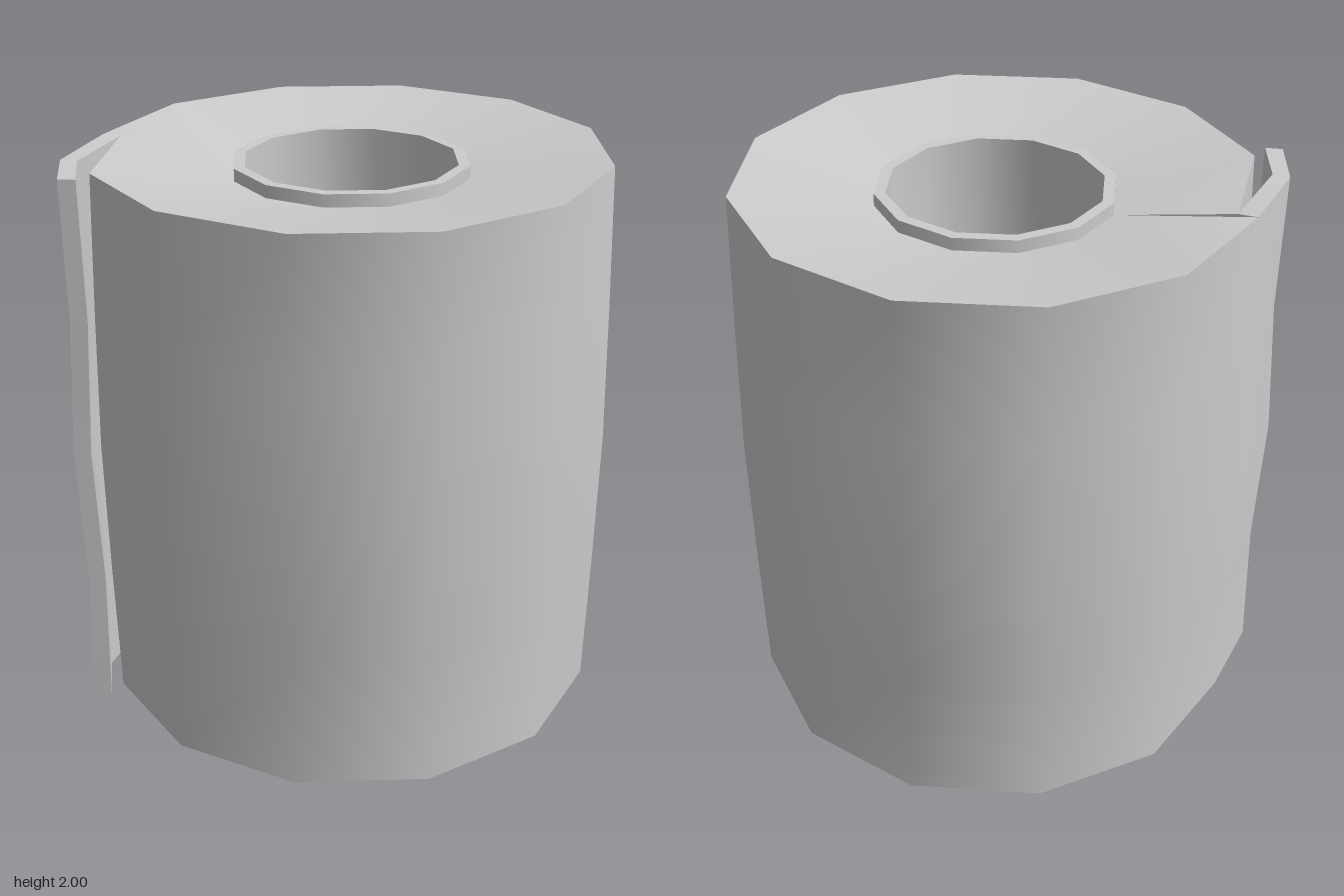
import * as THREE from 'three';
import { toCreasedNormals } from 'three/addons/utils/BufferGeometryUtils.js';

const CX = 0.01; // axis of the roll
const paper = new THREE.MeshStandardMaterial({ color: 0xcccccc });
paper.name = 'light grey paper';

// Outline of the roll at its ends, [x, z], from the notch round to the loose sheet
const outline = [[-0.82, 0], [-0.77, 0.455]];
for (let k = 2; k <= 11; k++) {
  const a = Math.PI - k * Math.PI / 6;
  outline.push([CX + 0.9 * Math.cos(a), 0.9 * Math.sin(a)]);
}
outline.push([-0.887, 0], [-0.92, 0.33], [-0.85, 0.54], [-0.79, 0.53], [-0.86, 0.33]);

function build(quads) {
  const pos = [];
  for (const [a, b, c, d] of quads) {
    pos.push(...a, ...b, ...c);
    if (d) pos.push(...a, ...c, ...d);
  }
  const g = new THREE.BufferGeometry();
  g.setAttribute('position', new THREE.Float32BufferAttribute(pos, 3));
  return toCreasedNormals(g, 0.75);
}

// Outer wall: bulges at mid height, the loose sheet is slightly wavy
function wallGeometry() {
  const body = [1, 1.015, 1.025, 1.015, 1];
  const flap = [1, 0.99, 1.017, 0.99, 1];
  const rings = body.map((s, j) => outline.map(([x, z], i) => {
    const k = i > 12 ? flap[j] : s;
    return [CX + (x - CX) * k, j * 0.5, z * (i > 12 ? 1 : k)];
  }));
  const quads = [];
  const n = outline.length;
  for (let j = 0; j < 4; j++) {
    for (let i = 0; i < n; i++) {
      const m = (i + 1) % n;
      quads.push([rings[j][i], rings[j][m], rings[j + 1][m], rings[j + 1][i]]);
    }
  }
  return build(quads);
}

// End face: dished towards the core, with the flat edge of the loose sheet
function endGeometry(top) {
  const yEdge = top ? 2 : 0, yCore = top ? 1.925 : 0.075;
  const o = outline.map(([x, z]) => [x, yEdge, z]);
  const core = (k) => {
    const a = Math.PI - k * Math.PI / 6;
    return [CX + 0.413 * Math.cos(a), yCore, 0.413 * Math.sin(a)];
  };
  const quads = [];
  for (let k = 0; k < 12; k++) quads.push([o[k], o[k + 1], core(k + 1), core(k)]);
  quads.push([o[12], o[0], core(0)]);
  quads.push([o[12], o[13], o[16], o[0]], [o[13], o[14], o[15], o[16]]);
  return build(top ? quads : quads.map((q) => q.reverse()));
}

// Hollow core, set a little below the rim of the roll
function coreGeometry() {
  const p = [[0.415, 0.03], [0.415, 1.97], [0.375, 1.97], [0.375, 0.03], [0.415, 0.03]];
  const g = new THREE.LatheGeometry(p.map(([x, y]) => new THREE.Vector2(x, y)), 12);
  return toCreasedNormals(g, 0.75);
}

export function createModel() {
  const group = new THREE.Group();
  group.name = 'paperRoll';
  const add = (name, geometry) => {
    const mesh = new THREE.Mesh(geometry, paper);
    mesh.name = name;
    group.add(mesh);
    return mesh;
  };
  add('rollWallAndLooseSheet', wallGeometry());
  add('topEnd', endGeometry(true));
  add('bottomEnd', endGeometry(false));
  add('core', coreGeometry()).position.x = CX;
  return group;
}
